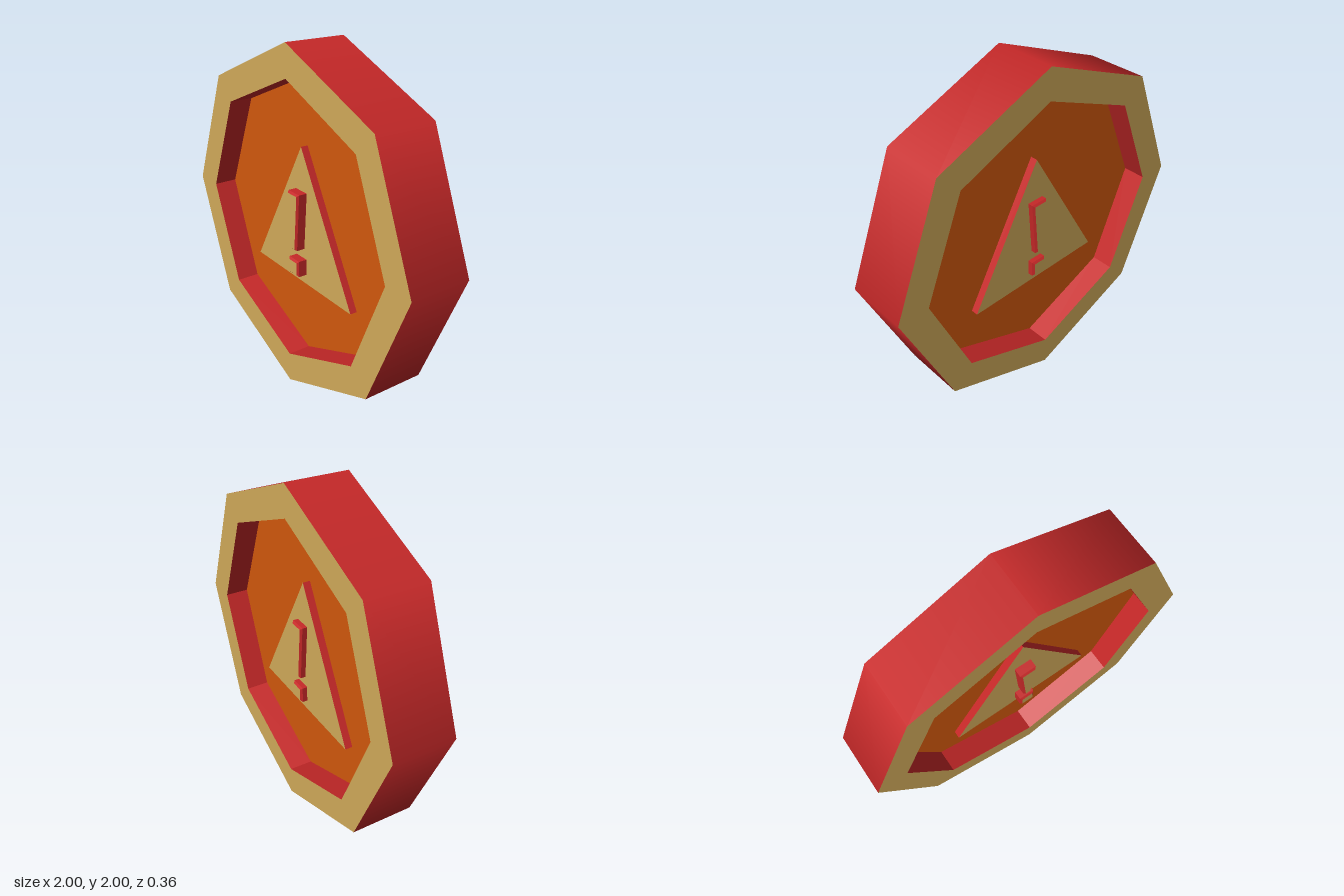
import * as THREE from 'three';

const RADIUS = 1, INNER = 0.818, HALF = 0.182; // octagonal coin
const FLOOR = 0.045, PLATE = 0.088;            // recessed floor, warning triangle face

export function createModel() {
  const gold = new THREE.MeshStandardMaterial({ color: 0xd2ab5a });
  gold.name = 'gold';
  const orange = new THREE.MeshStandardMaterial({ color: 0xd3590d });
  orange.name = 'orange';
  const red = new THREE.MeshStandardMaterial({ color: 0xc62828 });
  red.name = 'red';

  const model = new THREE.Group();
  model.name = 'warningCoin';
  const add = (name, geometry, material, parent = model) => {
    const mesh = new THREE.Mesh(geometry, material);
    mesh.name = name;
    parent.add(mesh);
    return mesh;
  };
  const shapeOf = (points) => new THREE.Shape(points.map(([x, y]) => new THREE.Vector2(x, y)));
  // Raised plate: gold face, red sides
  const plate = (name, points, z0, z1, bevel, parent) => {
    const geometry = new THREE.ExtrudeGeometry(shapeOf(points), {
      depth: z1 - z0 - bevel * 2, bevelEnabled: bevel > 0, bevelSegments: 1,
      bevelThickness: bevel, bevelSize: bevel, bevelOffset: -bevel,
    });
    geometry.translate(0, 0, z0 + bevel);
    return add(name, geometry, [gold, red], parent);
  };

  // Smoothly shaded outer rim
  const rim = new THREE.CylinderGeometry(RADIUS, RADIUS, HALF * 2, 8, 1, true);
  add('outerRim', rim.rotateX(Math.PI / 2), red).position.y = 1;

  // The two sides: the back is the front turned round, with a lower mark
  for (const [name, angle, markTop] of [['front', 0, 0.148], ['back', Math.PI, 0.128]]) {
    const side = new THREE.Group();
    side.name = name + 'Side';
    side.position.y = 1;
    side.rotation.y = angle;
    model.add(side);

    add('borderRing', new THREE.RingGeometry(INNER, RADIUS, 8, 1), gold, side).position.z = HALF;
    add('recessFloor', new THREE.CircleGeometry(INNER, 8), orange, side).position.z = FLOOR;

    // Faceted wall of the recess, turned inside out
    const tube = new THREE.CylinderGeometry(INNER, INNER, HALF - FLOOR, 8, 1, true);
    const wall = tube.rotateX(Math.PI / 2).scale(-1, 1, 1).toNonIndexed();
    wall.computeVertexNormals();
    add('recessWall', wall, red, side).position.z = (HALF + FLOOR) / 2;

    // Triangle and exclamation mark; same world x on both sides
    const m = angle ? -1 : 1;
    const flip = (points) => points.map(([x, y]) => [x * m, y]);
    plate('warningTriangle', flip([[-0.458, -0.358], [0.447, -0.364], [-0.004, 0.442]]), FLOOR - 0.01, PLATE, 0, side);
    plate('markBar', [[-0.03, -0.148], [0.022, -0.148], [0.047, 0.192], [-0.056, 0.192]],
      PLATE - 0.012, markTop, 0.011, side);
    plate('markDot', [[-0.053, -0.303], [0.041, -0.303], [0.041, -0.208], [-0.053, -0.208]],
      PLATE - 0.012, markTop, 0.011, side);
  }
  return model;
}
